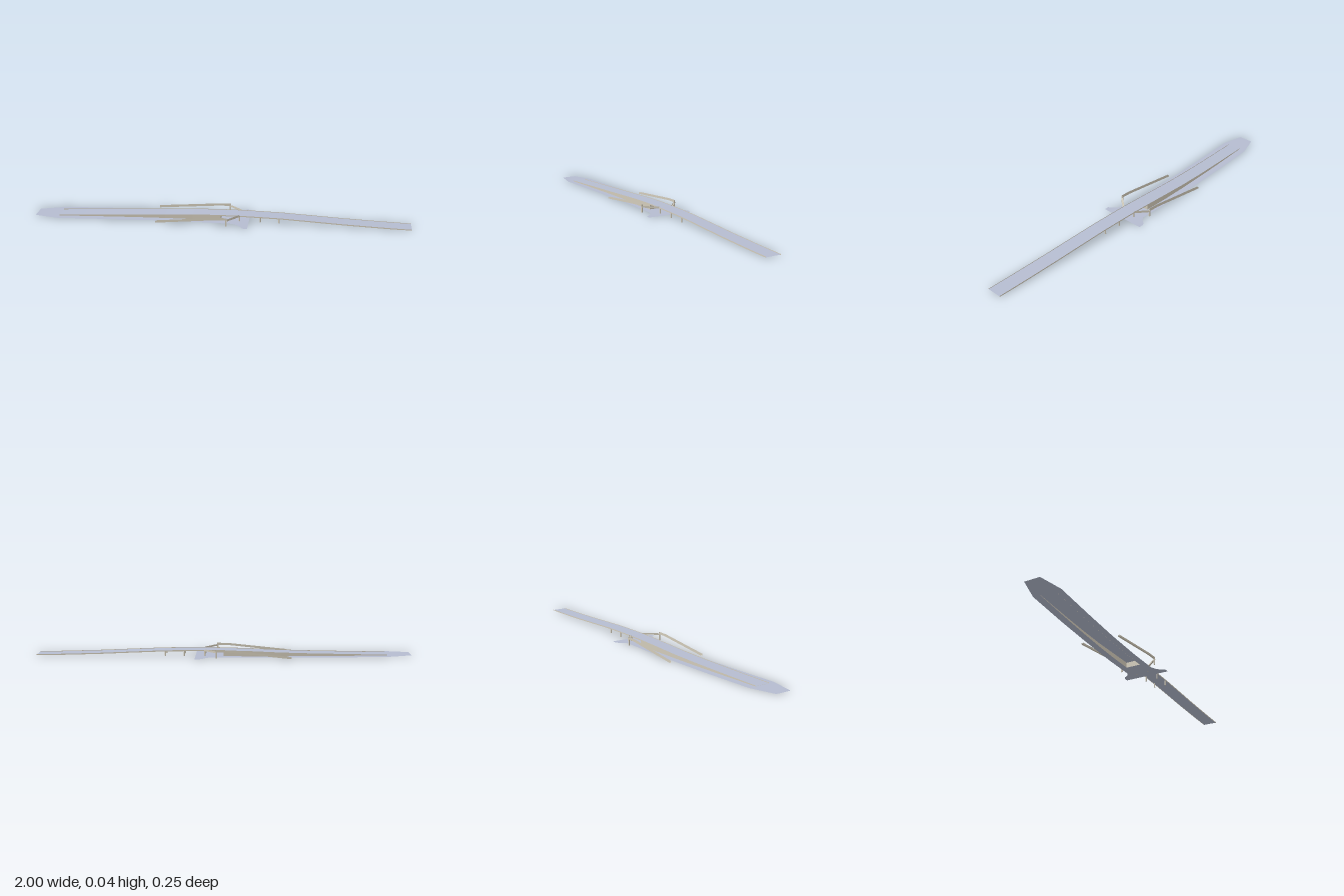
import * as THREE from 'three';

const road = new THREE.MeshStandardMaterial({ color: 0xb5bcd0, side: THREE.DoubleSide });
road.name = 'road grey';
const concrete = new THREE.MeshStandardMaterial({ color: 0xd3ccbb, side: THREE.DoubleSide });
concrete.name = 'concrete beige';

// Deck stations: x, centre z, height
const stations = [
  [-0.87, 0.041, 0.002], [-0.74, 0.031, 0.005], [-0.6, 0.02, 0.009], [-0.45, 0.01, 0.013],
  [-0.3, 0.002, 0.018], [-0.15, -0.003, 0.025], [0, -0.004, 0.029], [0.1, -0.004, 0.03],
  [0.2, -0.004, 0.029], [0.32, -0.004, 0.027], [0.5, -0.004, 0.019], [0.65, -0.004, 0.012],
  [0.8, -0.004, 0.007], [0.9, -0.004, 0.004], [1, -0.004, 0.002],
];
const HALF = 0.04;
const DECK_Z = -0.004;
const GROUND = 0.0005;
const rampStations = stations.filter(([x]) => x <= 0);
const edge = (list, side) => list.map(([x, z, h]) => [x, h, z + side * HALF]);

// Lofts a strip of faces through rows of points that share the same count
function loft(rows) {
  const pos = [];
  const put = (...pts) => pts.forEach((p) => pos.push(...p));
  for (let i = 0; i < rows.length - 1; i++) {
    for (let j = 0; j < rows[i].length - 1; j++) {
      const a = rows[i][j], b = rows[i][j + 1], c = rows[i + 1][j + 1], d = rows[i + 1][j];
      put(a, b, c, a, c, d);
    }
  }
  const g = new THREE.BufferGeometry();
  g.setAttribute('position', new THREE.Float32BufferAttribute(pos, 3));
  g.computeVertexNormals();
  return g;
}

const shift = (path, dx, dz) => path.map(([x, y, z]) => [x + dx, y, z + dz]);

// Upright panel along a path, from y + low to y + high
const panel = (path, low, high) =>
  loft(path.map(([x, y, z]) => [[x, Math.max(y + low, 0), z], [x, y + high, z]]));

// Level surface spanning two paths, facing up when a lies at the smaller z
const floor = (a, b) => loft(a.map((p, i) => [p, b[i]]));

function add(group, name, geometry, material) {
  const mesh = new THREE.Mesh(geometry, material);
  mesh.name = name;
  group.add(mesh);
  return mesh;
}

export function createModel() {
  const model = new THREE.Group();
  model.name = 'overpass';

  // Ground-level road, open beneath the approach ramp
  const outline = [
    [-1, 0.007], [-0.87, -0.037], [-0.6, -0.058], [-0.36, -0.071], [-0.13, -0.079], [0.07, -0.079],
    [0.09, -0.091], [0.11, -0.118], [0.125, -0.126], [0.15, -0.126],
    [0.15, 0.126], [0.125, 0.126], [0.11, 0.104], [0.09, 0.084], [0.06, 0.072], [-0.13, 0.072],
    [-0.36, 0.08], [-0.6, 0.095], [-0.87, 0.115], [-1, 0.091],
  ];
  const toShape = ([x, z]) => new THREE.Vector2(x, -z);
  const shape = new THREE.Shape(outline.map(toShape));
  const hole = [...edge(rampStations, -1), ...edge(rampStations, 1).reverse()];
  shape.holes.push(new THREE.Path(hole.map(([x, , z]) => toShape([x, z]))));
  add(model, 'groundRoad', new THREE.ShapeGeometry(shape).rotateX(-Math.PI / 2), road).position.y = GROUND;

  // Raised deck
  add(model, 'deck', floor(edge(stations, -1), edge(stations, 1)), road);

  for (const side of [-1, 1]) {
    // Thin parapet along each deck edge
    add(model, 'deckParapet', panel(edge(stations, side), -0.003, 0.003), concrete);

    // Retaining wall under the approach ramp
    const top = edge(rampStations, side);
    add(model, 'retainingWall', floor(top, top.map(([x, , z]) => [x, 0, z])), concrete);

    // Footpath ramp with railings on both sides
    const footway = new THREE.Group();
    footway.name = 'footway';
    model.add(footway);
    const z0 = side < 0 ? -0.102 : 0.104, z1 = side < 0 ? -0.094 : 0.104;
    const walk = [[side < 0 ? -0.355 : -0.34, 0.001, z0], [-0.02, 0.033, z1], [0.04, 0.034, z1]];
    const walkBack = shift(walk, 0, -0.004), walkFront = shift(walk, 0, 0.004);
    add(footway, 'rampFloor', floor(walkBack, walkFront), concrete);
    for (const path of [walkBack, walkFront]) {
      add(footway, 'rampRailing', panel(path, -0.001, 0.009), concrete);
    }
    add(footway, 'endRailing', panel([walkBack[2], walkFront[2]], -0.001, 0.009), concrete);

    // Landing bridge from the footpath to the deck
    const bridge = [[0.04, 0.029, z1], [0.1, 0.029, DECK_Z + side * HALF]];
    const inner = shift(bridge, -0.003, -side * 0.003), outer = shift(bridge, 0.003, side * 0.003);
    add(footway, 'bridgeFloor', side < 0 ? floor(outer, inner) : floor(inner, outer), concrete);
    for (const path of [inner, outer]) {
      add(footway, 'bridgeRailing', panel(path, -0.001, 0.006), concrete);
    }

    // Post beneath the footway corner
    add(footway, 'footwayPost', new THREE.BoxGeometry(0.007, 0.033, 0.007), concrete)
      .position.set(0.0365, 0.0165, z1);

    // Piers under the level part of the deck
    for (const [x, h] of [[0.1, 0.029], [0.21, 0.028], [0.31, 0.026]]) {
      add(model, 'pier', new THREE.CylinderGeometry(0.004, 0.004, h, 8), concrete)
        .position.set(x, h / 2, DECK_Z + side * 0.034);
    }
  }

  // End wall of the approach ramp
  const abutmentEnds = [-1, 1].map((side) => [0, 0, DECK_Z + side * HALF]);
  add(model, 'abutment', panel(abutmentEnds, 0, 0.029), concrete);

  return model;
}
